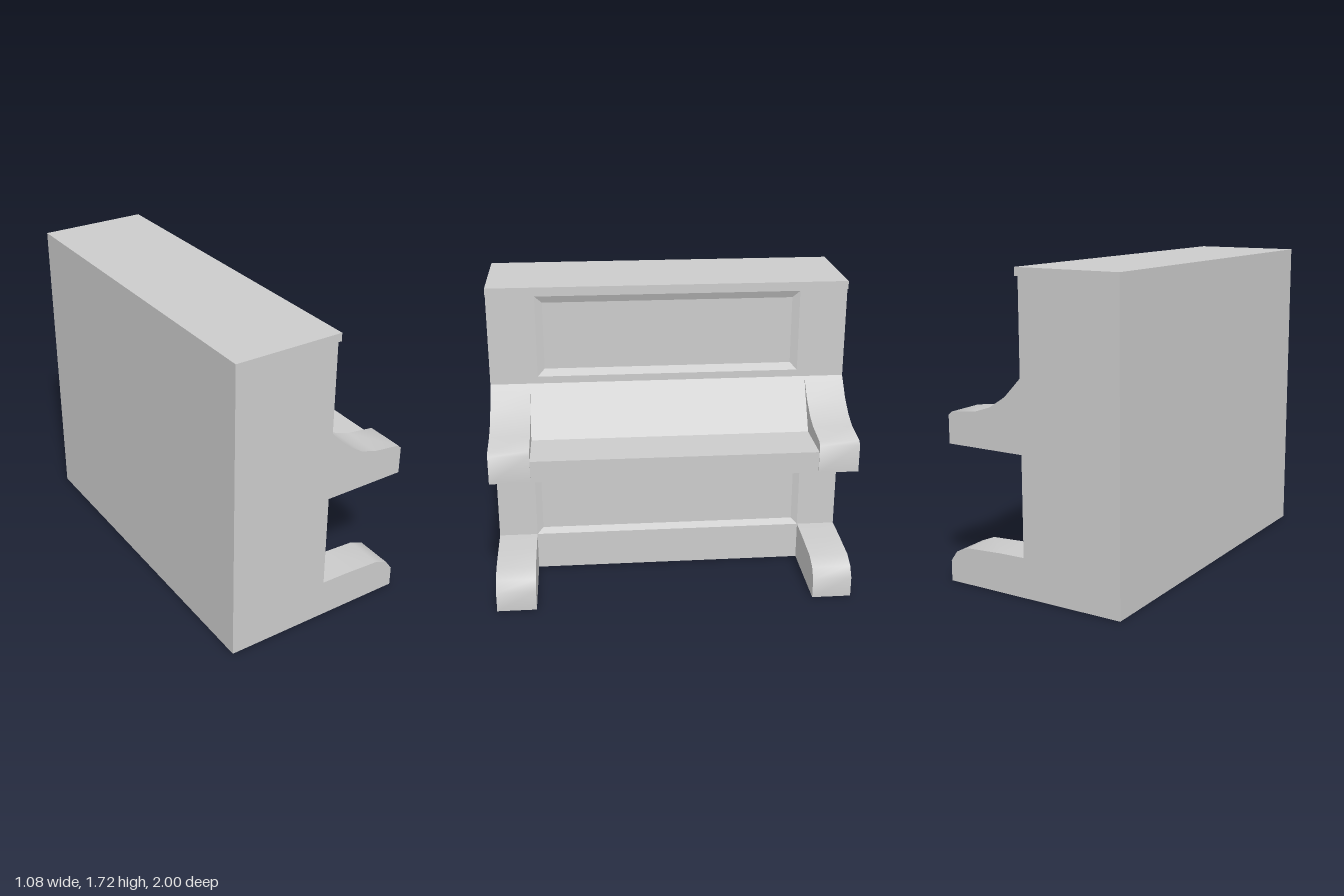
import * as THREE from 'three';
import { toCreasedNormals } from 'three/addons/utils/BufferGeometryUtils.js';

const material = new THREE.MeshStandardMaterial({ color: 0xcccccc });
const BACK = -0.54, FRONT = 0.05, PANEL = 0.03; // x of back, front face, recessed panels
const INNER = 0.78;                             // z of the inner faces of arms and feet

function add(group, name, geometry) {
  const mesh = new THREE.Mesh(geometry, material);
  mesh.name = name;
  group.add(mesh);
  return mesh;
}

// Box given by its x and y extents, full length along z
function slab(x0, x1, y0, y1) {
  return new THREE.BoxGeometry(x1 - x0, y1 - y0, 2)
    .translate((x0 + x1) / 2, (y0 + y1) / 2, 0);
}

// Side profile in x, y extruded from z0 to z1
function profile(points, z0, z1) {
  const shape = new THREE.Shape(points.map(([x, y]) => new THREE.Vector2(x, y)));
  const geometry = new THREE.ExtrudeGeometry(shape, { depth: z1 - z0, bevelEnabled: false });
  return toCreasedNormals(geometry.translate(0, 0, z0), 0.87);
}

// Corners of a panel opening, counter-clockwise as seen from the front
const corners = (w, y0, y1) => [[w, y0], [-w, y0], [-w, y1], [w, y1]];

// Sloped moulding from the opening in the frame down to the recessed panel
function moulding({ w, y0, y1, inset }) {
  const outer = corners(w, y0, y1).map(([z, y]) => [FRONT, y, z]);
  const inner = corners(w - inset, y0 + inset, y1 - inset).map(([z, y]) => [PANEL + 0.001, y, z]);
  const positions = [];
  for (let i = 0; i < 4; i++) {
    const j = (i + 1) % 4;
    for (const p of [outer[i], outer[j], inner[j], outer[i], inner[j], inner[i]]) positions.push(...p);
  }
  const geometry = new THREE.BufferGeometry();
  geometry.setAttribute('position', new THREE.Float32BufferAttribute(positions, 3));
  geometry.computeVertexNormals();
  return geometry;
}

export function createModel() {
  const group = new THREE.Group();
  group.name = 'uprightPiano';

  // Cabinet and overhanging lid
  add(group, 'cabinet', slab(BACK, PANEL + 0.001, 0, 1.675));
  add(group, 'lid', slab(BACK, 0.07, 1.675, 1.72));

  // Front frame with an opening for each recessed panel
  const panels = [
    { name: 'upperPanelMoulding', w: 0.735, y0: 1.205, y1: 1.665, inset: 0.04 },
    { name: 'lowerPanelMoulding', w: 0.779, y0: 0.22, y1: 0.765, inset: 0.035 },
  ];
  const face = new THREE.Shape([[-1, 0], [1, 0], [1, 1.675], [-1, 1.675]]
    .map(([z, y]) => new THREE.Vector2(z, y)));
  for (const p of panels) {
    face.holes.push(new THREE.Path(corners(p.w, p.y0, p.y1).map(([z, y]) => new THREE.Vector2(z, y))));
    add(group, p.name, moulding(p));
  }
  const frame = new THREE.ExtrudeGeometry(face, { depth: FRONT - PANEL, bevelEnabled: false });
  add(group, 'frontFrame', frame.rotateY(Math.PI / 2).translate(PANEL, 0, 0));

  // Key shelf with the sloping cover behind it
  add(group, 'keyShelf', profile(
    [[FRONT, 0.77], [0.52, 0.77], [0.52, 0.89], [0.22, 0.89], [FRONT, 1.165]], -INNER, INNER));

  // Curved arms and feet at both ends
  const arm = [[FRONT, 0.77], [0.525, 0.77], [0.525, 0.925], [0.505, 0.945], [0.34, 0.965],
    [0.25, 0.995], [0.15, 1.06], [FRONT, 1.165]];
  const foot = [[FRONT, 0], [0.54, 0], [0.54, 0.115], [0.5, 0.172], [0.42, 0.205],
    [0.2, 0.217], [FRONT, 0.22]];
  for (const [side, z0, z1] of [['left', -1, -INNER], ['right', INNER, 1]]) {
    add(group, side + 'Arm', profile(arm, z0, z1));
    add(group, side + 'Foot', profile(foot, z0, z1));
  }
  return group;
}
